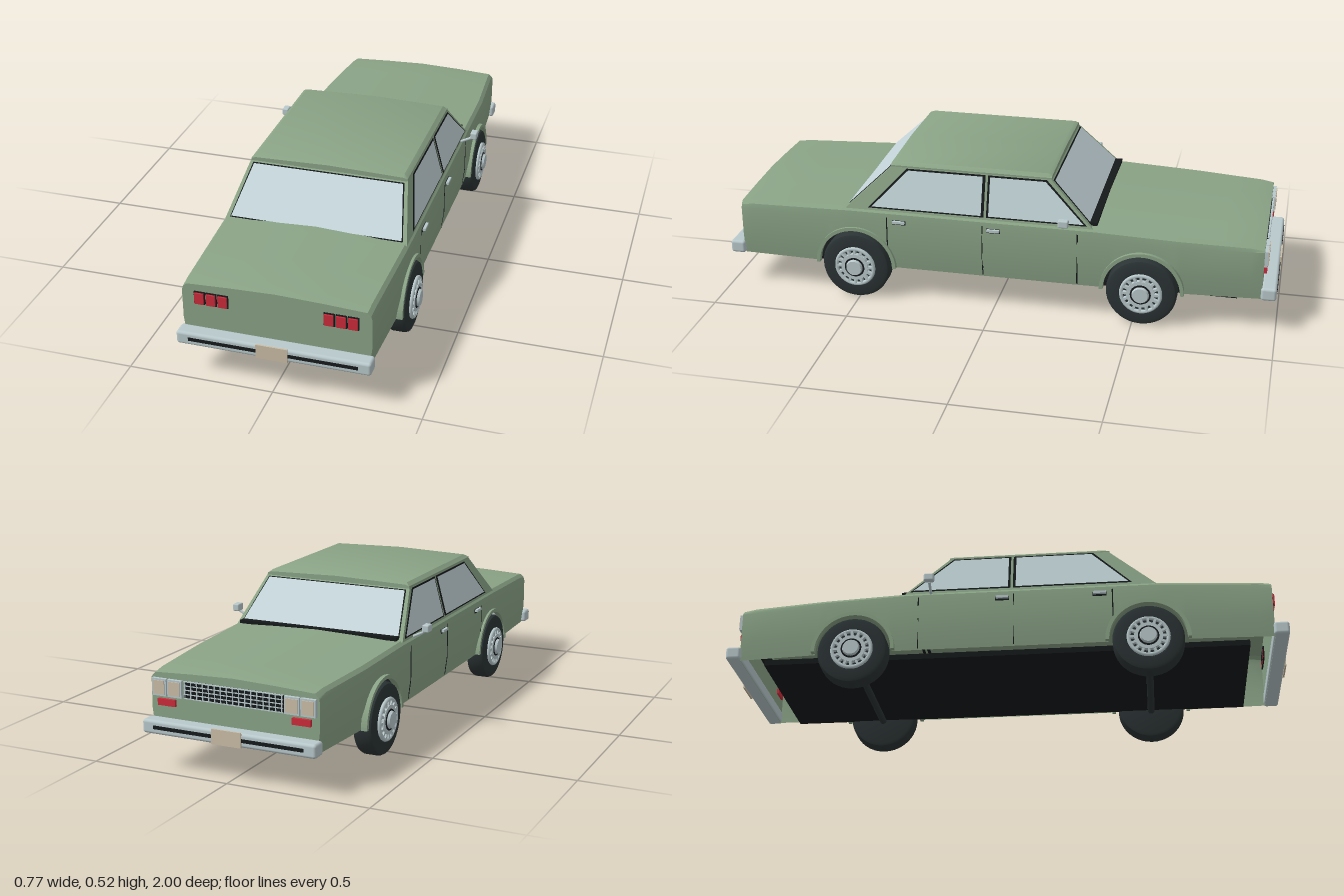
import * as THREE from 'three';
import { toCreasedNormals } from 'three/addons/utils/BufferGeometryUtils.js';
import { RoundedBoxGeometry } from 'three/addons/geometries/RoundedBoxGeometry.js';

const mat = (name, color, side = THREE.FrontSide) => {
  const m = new THREE.MeshStandardMaterial({ color, side });
  m.name = name;
  return m;
};
const paint = mat('sage paint', 0x8aa386, THREE.DoubleSide);
const glass = mat('pale glass', 0xc3d4d8, THREE.DoubleSide);
const chrome = mat('chrome', 0xb9c9cc);
const rubber = mat('tyre rubber', 0x2b3334);
const black = mat('black trim', 0x16191b, THREE.DoubleSide);
const red = mat('red lens', 0xcc2b3b);
const cream = mat('cream', 0xcabda6);

const WHEELS = [0.51, -0.53], ARCH = 0.138, AXLE_Y = 0.127;
const lerp = THREE.MathUtils.lerp;

// piecewise linear lookup
function along(table, z) {
  for (let i = 1; i < table.length; i++) {
    const [a, va] = table[i - 1], [b, vb] = table[i];
    if (z <= b) return lerp(va, vb, Math.max(0, (z - a) / (b - a)));
  }
  return table[table.length - 1][1];
}
const halfWidth = z => along([[-0.945, 0.305], [-0.65, 0.326], [-0.3, 0.333], [0.55, 0.333], [0.945, 0.32]], z);
const deckY = z => along([[-0.945, 0.334], [-0.9, 0.341], [-0.35, 0.361], [0.54, 0.361], [0.9, 0.349], [0.945, 0.343]], z);
const bodyX = (y, z) => halfWidth(z) * (1 - 0.03 * THREE.MathUtils.clamp((0.2 - y) / 0.075, 0, 1));

function createModel() {
  const car = new THREE.Group();
  car.name = 'sedan';

  const add = (name, geo, m, x = 0, y = 0, z = 0, parent = car) => {
    const mesh = new THREE.Mesh(geo, m);
    mesh.name = name;
    mesh.position.set(x, y, z);
    parent.add(mesh);
    return mesh;
  };
  const box = (name, w, h, d, m, x, y, z, parent) => add(name, new THREE.BoxGeometry(w, h, d), m, x, y, z, parent);

  // surface from equal-length rows of points, optionally with end caps
  const loft = (rows, caps) => {
    const n = rows[0].length, pos = rows.flat(2), idx = [];
    for (let i = 0; i < rows.length - 1; i++)
      for (let j = 0; j < n - 1; j++) {
        const a = i * n + j, b = a + n;
        idx.push(a, b, a + 1, b, b + 1, a + 1);
      }
    if (caps) {
      const last = (rows.length - 1) * n;
      for (let j = 1; j < n - 1; j++) idx.push(0, j, j + 1, last, last + j + 1, last + j);
    }
    const g = new THREE.BufferGeometry();
    g.setAttribute('position', new THREE.Float32BufferAttribute(pos, 3));
    g.setIndex(idx);
    return toCreasedNormals(g, 0.45);
  };

  // flat convex polygon
  const plate = (name, pts, m) => {
    const idx = [];
    for (let i = 1; i < pts.length - 1; i++) idx.push(0, i, i + 1);
    const g = new THREE.BufferGeometry();
    g.setAttribute('position', new THREE.Float32BufferAttribute(pts.flat(), 3));
    g.setIndex(idx);
    g.computeVertexNormals();
    return add(name, g, m);
  };

  // body shell: sections along z, with the lower edge cut by the wheel arches
  const stations = [-0.945, -0.9, -0.8, -0.35, -0.3, 0, 0.3, 0.54, 0.75, 0.9, 0.945].map(z => [z, 0.125]);
  for (const c of WHEELS) {
    for (let i = stations.length - 1; i >= 0; i--)
      if (Math.abs(stations[i][0] - c) < ARCH + 0.002) stations.splice(i, 1);
    stations.push([c - ARCH - 0.001, 0.125], [c + ARCH + 0.001, 0.125]);
    for (let i = 0; i <= 20; i++) {
      const a = Math.PI * i / 20;
      stations.push([c - ARCH * Math.cos(a), AXLE_Y + ARCH * Math.sin(a)]);
    }
  }
  stations.sort((a, b) => a[0] - b[0]);
  add('bodyShell', loft(stations.map(([z, b]) => {
    const w = halfWidth(z), t = deckY(z), mid = Math.max(b, 0.2);
    const half = [
      [bodyX(b, z), b], [bodyX(mid, z), mid], [w, 0.305],
      [w - 0.004, t - 0.024], [w - 0.016, t - 0.012], [w * 0.5, t - 0.005],
    ];
    return [
      ...half.map(([x, y]) => [x, y, z]), [0, t, z],
      ...half.reverse().map(([x, y]) => [-x, y, z]),
    ];
  }), true), paint);

  // underside
  box('floorPan', 0.56, 0.02, 1.72, black, 0, 0.12, 0);

  // cabin frame and crowned roof
  const cabin = { y0: 0.345, y1: 0.502, x0: 0.324, x1: 0.282, f0: -0.352, f1: -0.195, r0: 0.545, r1: 0.38 };
  const ring = (y, x, f, r) => [[x, y, f], [-x, y, f], [-x, y, r], [x, y, r], [x, y, f]];
  add('cabinFrame', loft([
    ring(cabin.y1, cabin.x1, cabin.f1, cabin.r1), ring(cabin.y0, cabin.x0, cabin.f0, cabin.r0),
  ]), paint);
  add('roof', loft([[-0.198, 0.006], [-0.185, 0], [0.365, 0], [0.383, 0.006]].map(([z, drop]) => [
    [0.281, 0.498, z], [0.281, 0.507, z], [0.266, 0.518 - drop, z], [0, 0.525 - drop, z],
    [-0.266, 0.518 - drop, z], [-0.281, 0.507, z], [-0.281, 0.498, z],
  ]), true), paint);

  // windscreen and rear window, each with a dark seal
  const endWindow = (name, zBase, zTop, out) => {
    const pane = (grow, off, m, label) => {
      const p = (s, y, x) => [s * (x + grow), y, lerp(zBase, zTop, (y - cabin.y0) / (cabin.y1 - cabin.y0)) + out * off];
      const lo = 0.357 - grow, hi = 0.494 + grow * 0.5;
      plate(label, [p(1, lo, 0.304), p(1, hi, 0.268), p(-1, hi, 0.268), p(-1, lo, 0.304)], m);
    };
    pane(0.004, 0.002, black, name + 'Seal');
    pane(0, 0.005, glass, name);
  };
  endWindow('windscreen', cabin.f0, cabin.f1, -1);
  endWindow('rearWindow', cabin.r0, cabin.r1, 1);
  box('cowlVent', 0.61, 0.012, 0.03, black, 0, 0.357, -0.35);

  const windows = {
    rearDoor: [[0.447, 0.359], [0.318, 0.494], [0.047, 0.494], [0.047, 0.359]],
    frontDoor: [[0.02, 0.359], [0.02, 0.494], [-0.178, 0.494], [-0.32, 0.359]],
  };
  for (const s of [1, -1]) {
    const side = s > 0 ? 'left' : 'right';

    // side windows
    for (const [name, pts] of Object.entries(windows)) {
      const cz = pts.reduce((a, p) => a + p[0], 0) / 4, cy = 0.4265;
      const pane = (gz, gy, off) => pts.map(([z, y]) => {
        const yy = cy + (y - cy) * gy;
        const x = lerp(cabin.x0, cabin.x1, (yy - cabin.y0) / (cabin.y1 - cabin.y0));
        return [s * (x + off), yy, cz + (z - cz) * gz];
      });
      plate(`${side} ${name} windowSeal`, pane(1.06, 1.08, 0.002), black);
      plate(`${side} ${name} window`, pane(1, 1, 0.004), glass);
    }

    // door seams and handles
    for (const [z, low] of [[0.39, 0.21], [0.04, 0.13], [-0.3, 0.13]])
      plate(side + ' doorSeam', [[low, -1], [low, 1], [0.2, 1], [0.325, 1], [0.325, -1], [0.2, -1]]
        .filter(([y]) => y === low || y > low)
        .map(([y, e]) => [s * (bodyX(y, z) + 0.0015), y, z + e * 0.002]), black);
    for (const z of [0.345, 0]) {
      box(side + ' doorHandle', 0.012, 0.009, 0.045, chrome, s * 0.338, 0.311, z);
      box(side + ' handleRecess', 0.004, 0.016, 0.05, black, s * 0.332, 0.308, z);
    }

    // wing mirror
    add(side + ' mirrorHead', new RoundedBoxGeometry(0.025, 0.027, 0.036, 2, 0.005), chrome, s * 0.375, 0.381, -0.257);
    const arm = new THREE.LineCurve3(new THREE.Vector3(s * 0.318, 0.343, -0.257), new THREE.Vector3(s * 0.368, 0.368, -0.257));
    add(side + ' mirrorArm', new THREE.TubeGeometry(arm, 1, 0.005, 8), chrome);

    // tail lights
    for (const x of [0.179, 0.219, 0.259]) {
      box(side + ' tailLightFrame', 0.037, 0.046, 0.01, black, s * x, 0.285, 0.945);
      box(side + ' tailLight', 0.031, 0.04, 0.016, red, s * x, 0.285, 0.948);
    }
    // headlights and indicators
    for (const x of [0.213, 0.27]) {
      box(side + ' headlightFrame', 0.053, 0.058, 0.02, chrome, s * x, 0.276, -0.947);
      box(side + ' headlight', 0.041, 0.046, 0.006, cream, s * x, 0.276, -0.957);
    }
    box(side + ' indicator', 0.065, 0.022, 0.018, red, s * 0.245, 0.226, -0.947);
  }

  // grille
  box('grille', 0.36, 0.058, 0.012, black, 0, 0.276, -0.944);
  for (let i = 0; i < 5; i++) box('grilleBar', 0.36, 0.003, 0.006, chrome, 0, 0.248 + i * 0.014, -0.95);
  for (let i = 0; i <= 16; i++) box('grilleSlat', 0.003, 0.058, 0.006, chrome, -0.176 + i * 0.022, 0.276, -0.95);

  // bumpers
  for (const [s, name, w] of [[1, 'rear', 0.66], [-1, 'front', 0.63]]) {
    add(name + 'Bumper', new RoundedBoxGeometry(w, 0.047, 0.054, 3, 0.01), chrome, 0, 0.15, s * 0.968);
    box(name + 'BumperStrip', w - 0.085, 0.012, 0.008, black, 0, 0.151, s * 0.993);
    box(name + 'Plate', 0.107, 0.051, 0.006, cream, 0, 0.152, s * 0.997);
  }

  // wheels, built facing +x
  const tyreProfile = [[0.001, 0], [0.11, 0], [0.12, 0.004], [0.125, 0.014], [0.125, 0.058], [0.12, 0.068], [0.11, 0.072], [0.078, 0.072], [0.074, 0.064], [0.001, 0.064]]
    .map(p => new THREE.Vector2(...p));
  const tyreGeo = toCreasedNormals(new THREE.LatheGeometry(tyreProfile, 40).rotateZ(-Math.PI / 2), 0.7);
  const disc = (r0, r1, h) => new THREE.CylinderGeometry(r0, r1, h, 32).rotateZ(-Math.PI / 2);
  const lipShape = new THREE.Shape();
  lipShape.absarc(0, 0, ARCH + 0.011, 0, Math.PI, false);
  lipShape.absarc(0, 0, ARCH - 0.002, Math.PI, 0, true);
  const lipGeo = new THREE.ExtrudeGeometry(lipShape, { depth: 0.022, bevelEnabled: false, curveSegments: 20 });
  lipGeo.rotateY(Math.PI / 2);

  for (const z of WHEELS) {
    add('axle', disc(0.013, 0.013, 0.56), rubber, 0, 0.108, z);
    for (const s of [1, -1]) {
      const wheel = new THREE.Group();
      wheel.name = `${s > 0 ? 'left' : 'right'} ${z > 0 ? 'rear' : 'front'} wheel`;
      wheel.position.set(s * 0.275, AXLE_Y, z);
      wheel.rotation.y = s > 0 ? 0 : Math.PI;
      car.add(wheel);
      add('tyre', tyreGeo, rubber, 0, 0, 0, wheel);
      add('rimRing', new THREE.TorusGeometry(0.069, 0.007, 8, 40).rotateY(Math.PI / 2), chrome, 0.075, 0, 0, wheel);
      add('rimDisc', disc(0.05, 0.05, 0.018), chrome, 0.074, 0, 0, wheel);
      add('hubRing', disc(0.036, 0.04, 0.008), black, 0.081, 0, 0, wheel);
      add('hubCap', disc(0.027, 0.034, 0.016), chrome, 0.086, 0, 0, wheel);
      for (let i = 0; i < 16; i++) {
        const spoke = new THREE.BoxGeometry(0.014, 0.032, 0.009).translate(0, 0.054, 0).rotateX(i * Math.PI / 8);
        add('spoke', spoke, chrome, 0.074, 0, 0, wheel);
      }
      add('archLip', lipGeo, paint, s > 0 ? 0.32 : -0.342, AXLE_Y, z);
    }
  }
  return car;
}

export { createModel };
